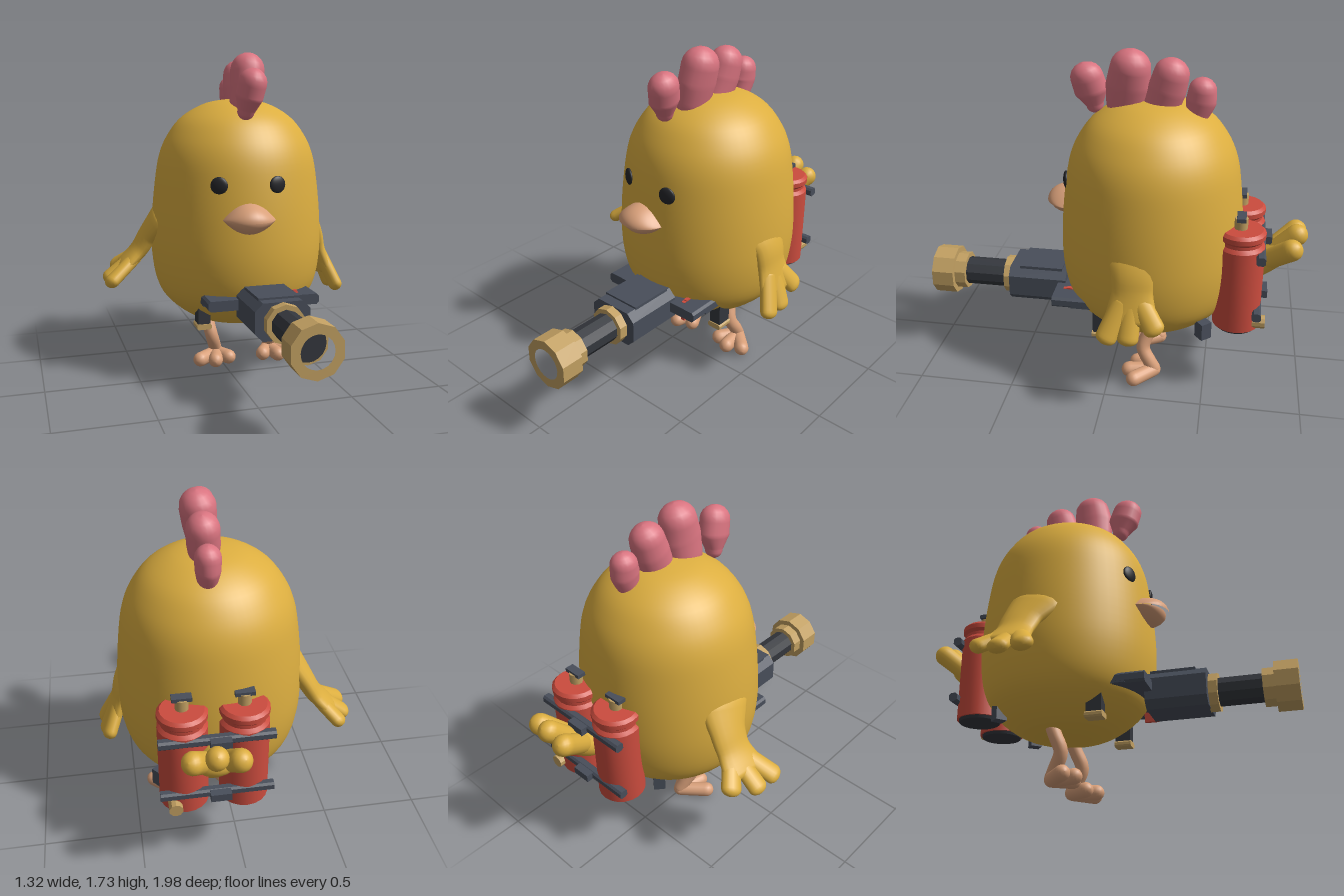
import * as THREE from 'three';
import { toCreasedNormals } from 'three/addons/utils/BufferGeometryUtils.js';

const V = (a) => new THREE.Vector3(...a);

// Rounded limb: sections are [x, y, z, widthRadius, thicknessRadius], wide along `wide`
function limbGeometry(sections, wide = [1, 0, 0], steps = 14, sides = 18) {
  const curve = new THREE.CatmullRomCurve3(sections.map((s) => V(s)));
  const rings = [];
  const n = sections.length - 1;
  const radius = (t, k) => {
    const i = Math.min(Math.floor(t * n), n - 1);
    return THREE.MathUtils.lerp(sections[i][k], sections[i + 1][k], t * n - i);
  };
  const add = (t, cap) => {
    const tan = curve.getTangent(t);
    const rw = radius(t, 3), rt = radius(t, 4), grow = Math.cos(cap);
    const w = V(wide).addScaledVector(tan, -V(wide).dot(tan)).normalize();
    const h = tan.clone().cross(w);
    const c = curve.getPoint(t).addScaledVector(tan, Math.sin(cap) * Math.min(rw, rt));
    const ring = [];
    for (let j = 0; j < sides; j++) {
      const a = (j / sides) * Math.PI * 2;
      ring.push(c.clone().addScaledVector(w, Math.cos(a) * rw * grow).addScaledVector(h, Math.sin(a) * rt * grow));
    }
    rings.push(ring);
  };
  for (let k = 5; k > 0; k--) add(0, (-k / 5) * Math.PI / 2);
  for (let i = 0; i <= steps; i++) add(i / steps, 0);
  for (let k = 1; k <= 5; k++) add(1, (k / 5) * Math.PI / 2);
  const index = [];
  for (let i = 0; i < rings.length - 1; i++) {
    for (let j = 0; j < sides; j++) {
      const a = i * sides + j, b = i * sides + ((j + 1) % sides);
      index.push(a, b, a + sides, b, b + sides, a + sides);
    }
  }
  const g = new THREE.BufferGeometry().setFromPoints(rings.flat());
  g.setIndex(index);
  g.computeVertexNormals();
  return g;
}

// Block with chamfered long edges, running along z
function chamferBox(w, h, d, c) {
  const x = w / 2, y = h / 2;
  const s = new THREE.Shape([[x - c, -y], [x, c - y], [x, y - c], [x - c, y], [c - x, y], [-x, y - c], [-x, c - y], [c - x, -y]]
    .map((p) => new THREE.Vector2(...p)));
  return new THREE.ExtrudeGeometry(s, { depth: d, bevelEnabled: false }).translate(0, 0, -d / 2);
}

// Faceted cylinder running along z
const facetRod = (r, len, sides = 10) =>
  toCreasedNormals(new THREE.CylinderGeometry(r, r, len, sides).rotateX(Math.PI / 2), 0.3);

export function createModel() {
  const model = new THREE.Group();
  const mat = (name, color) => Object.assign(new THREE.MeshStandardMaterial({ color }), { name });
  const yellow = mat('yellow feathers', 0xdcae40);
  const pink = mat('pink comb', 0xd97480);
  const peach = mat('peach skin', 0xd9a07a);
  const red = mat('red paint', 0xcb4c3e);
  const gold = mat('dull brass', 0xc2a062);
  const steel = mat('blue grey steel', 0x484e5a);
  const dark = mat('dark metal', 0x34373d);
  const black = mat('eye black', 0x25262a);
  const add = (name, geometry, material, pos = [0, 0, 0], parent = model) => {
    const m = new THREE.Mesh(geometry, material);
    m.name = name;
    m.position.set(...pos);
    parent.add(m);
    return m;
  };
  const box = (w, h, d) => new THREE.BoxGeometry(w, h, d);

  // Egg-shaped body, turned slightly
  const bird = new THREE.Group();
  bird.name = 'bodyAndFace';
  bird.position.set(0.085, 0, -0.19);
  bird.rotation.y = -0.13;
  model.add(bird);
  const profile = new THREE.SplineCurve([
    [0, 0.26], [0.13, 0.27], [0.26, 0.31], [0.38, 0.4], [0.44, 0.5], [0.468, 0.66], [0.466, 0.85],
    [0.447, 1.05], [0.42, 1.2], [0.37, 1.31], [0.29, 1.405], [0.16, 1.475], [0, 1.5],
  ].map((p) => new THREE.Vector2(...p))).getPoints(48);
  profile.forEach((p) => { p.x = Math.max(0, p.x); });
  add('body', new THREE.LatheGeometry(profile, 56), yellow, [0, 0, 0], bird);

  // Eyes
  for (const s of [-1, 1]) {
    const a = s * 0.343;
    const eye = add('eye', new THREE.SphereGeometry(0.045, 24, 16), black,
      [Math.sin(a) * 0.443, 1.075, Math.cos(a) * 0.443], bird);
    eye.scale.z = 0.35;
    eye.rotation.y = a;
  }

  // Beak: two lens-shaped halves
  for (const [name, h, depth] of [['upperBeak', 0.085, 0.135], ['lowerBeak', -0.075, 0.115]]) {
    const g = new THREE.SphereGeometry(1, 32, 24, 0, Math.PI * 2, 0, Math.PI / 2);
    const p = g.attributes.position;
    for (let i = 0; i < p.count; i++) {
      p.setY(i, p.getY(i) * Math.sqrt(Math.max(0, 1 - p.getX(i) ** 2)));
    }
    if (h < 0) g.rotateZ(Math.PI);
    g.scale(0.135, Math.abs(h), depth);
    g.computeVertexNormals();
    add(name, g, peach, [0, 0.903, 0.435], bird);
  }

  // Comb lobes
  const comb = [
    [[0.05, 1.44, 0.115, 0.045, 0.045], [0.062, 1.51, 0.13, 0.07, 0.085], [0.075, 1.585, 0.15, 0.072, 0.082]],
    [[0.09, 1.46, -0.05, 0.075, 0.1], [0.105, 1.56, -0.06, 0.085, 0.11], [0.115, 1.65, -0.072, 0.09, 0.1]],
    [[0.11, 1.46, -0.22, 0.07, 0.09], [0.115, 1.55, -0.25, 0.08, 0.095], [0.12, 1.625, -0.27, 0.08, 0.088]],
    [[0.12, 1.44, -0.4, 0.05, 0.06], [0.12, 1.5, -0.415, 0.06, 0.075], [0.12, 1.555, -0.42, 0.062, 0.068]],
  ];
  comb.forEach((lobe) => add('combLobe', limbGeometry(lobe), pink));

  // Wings: a flat arm ending in three feathers
  const wings = [
    { arm: [[0.47, 0.84, -0.15, 0.16, 0.06], [0.525, 0.76, -0.15, 0.11, 0.045], [0.55, 0.66, -0.15, 0.1, 0.042], [0.59, 0.54, -0.15, 0.13, 0.035]],
      start: [0.565, 0.62], z: -0.15, tips: [[0.63, 0.455, -0.035], [0.628, 0.455, -0.14], [0.615, 0.515, -0.265]] },
    { arm: [[-0.33, 0.86, -0.23, 0.15, 0.06], [-0.395, 0.76, -0.27, 0.11, 0.05], [-0.45, 0.67, -0.285, 0.1, 0.045], [-0.53, 0.59, -0.295, 0.13, 0.035]],
      start: [-0.48, 0.63], z: -0.29, tips: [[-0.615, 0.525, -0.17], [-0.615, 0.525, -0.29], [-0.555, 0.565, -0.42]] },
  ];
  for (const { arm, start, z, tips } of wings) {
    add('wing', limbGeometry(arm, [0, 0, 1]), yellow);
    tips.forEach((tip, i) => add('wingFeather',
      limbGeometry([[...start, z + (1 - i) * 0.045, 0.05, 0.035], [...tip, 0.053, 0.036]], [0, 0, 1]), yellow));
  }

  // Tail with three feathers
  add('tail', limbGeometry([[0.13, 0.6, -0.6, 0.07, 0.07], [0.14, 0.66, -0.73, 0.085, 0.075], [0.155, 0.74, -0.84, 0.095, 0.06]]), yellow);
  for (const [x, y, z] of [[0.055, 0.82, -0.925], [0.16, 0.845, -0.925], [0.265, 0.81, -0.9]]) {
    add('tailFeather', limbGeometry([[0.145 + (x - 0.16) * 0.35, 0.7, -0.78, 0.05, 0.05], [x, y, z, 0.053, 0.055]]), yellow);
  }

  // Legs and three-toed feet
  const legs = [
    { path: [[-0.075, 0.33, -0.23], [-0.075, 0.25, -0.2], [-0.06, 0.17, -0.175], [-0.035, 0.1, -0.21], [-0.02, 0.055, -0.235]], toes: [-0.135, -0.055, 0.03] },
    { path: [[0.235, 0.33, -0.23], [0.255, 0.25, -0.2], [0.28, 0.17, -0.175], [0.295, 0.1, -0.21], [0.295, 0.055, -0.235]], toes: [0.235, 0.315, 0.395] },
  ];
  for (const { path, toes } of legs) {
    add('leg', limbGeometry(path.map((p) => [...p, 0.036, 0.036])), peach);
    const heel = path[4];
    toes.forEach((x, i) => add('toe', limbGeometry(
      [[heel[0], 0.045, heel[2], 0.038, 0.038], [x, 0.045, i === 1 ? -0.105 : -0.14, 0.04, 0.04]]), peach));
  }

  // Back tanks with valves
  const tankProfile = [[0, 0.39], [0.12, 0.39], [0.12, 0.83], [0.105, 0.848], [0.105, 0.865], [0.12, 0.88], [0.12, 0.905], [0.105, 0.92], [0, 0.92]]
    .map((p) => new THREE.Vector2(...p));
  for (const x of [-0.012, 0.28]) {
    add('tank', toCreasedNormals(new THREE.LatheGeometry(tankProfile, 20), 0.5), red, [x, 0, -0.65]);
    add('tankBase', new THREE.CylinderGeometry(0.112, 0.105, 0.02, 20), dark, [x, 0.385, -0.65]);
    add('valveStem', new THREE.CylinderGeometry(0.033, 0.033, 0.06, 10), gold, [x, 0.945, -0.645]);
    add('valveHandle', box(0.095, 0.02, 0.045), steel, [x, 0.978, -0.645]);
  }
  for (const y of [0.49, 0.805]) {
    add('tankBar', chamferBox(0.045, 0.045, 0.545, 0.01).rotateY(Math.PI / 2), steel, [0.132, y, -0.75]);
    add('barClamp', box(0.1, 0.04, 0.04), steel, [0.12, y, -0.785]);
  }
  add('tankOutlet', facetRod(0.034, 0.09), gold, [0.335, 0.43, -0.75]);
  for (const s of [-1, 1]) {
    const hook = add('tankBracket', box(0.06, 0.09, 0.06), steel, [0.13 + s * 0.25, 0.385, -0.49]);
    hook.rotation.y = s * 0.7;
  }

  // Front blaster: receiver, collars, barrel and hollow muzzle
  const gun = new THREE.Group();
  gun.name = 'blaster';
  gun.position.set(0.1, 0.455, 0);
  model.add(gun);
  add('receiver', chamferBox(0.28, 0.19, 0.31, 0.04), steel, [0, 0.005, 0.405], gun);
  add('receiverTop', box(0.21, 0.02, 0.23), steel, [0, 0.1, 0.39], gun);
  add('rearCollar', facetRod(0.1, 0.05), gold, [0, 0, 0.58], gun);
  add('barrel', facetRod(0.075, 0.25), dark, [0, 0, 0.71], gun);
  add('frontCollar', facetRod(0.1, 0.06), gold, [0, 0, 0.855], gun);
  const ring = (r, n) => Array.from({ length: n }, (_, i) =>
    new THREE.Vector2(Math.sin((i / n) * Math.PI * 2) * r, Math.cos((i / n) * Math.PI * 2) * r));
  const muzzle = new THREE.Shape(ring(0.13, 10));
  muzzle.holes.push(new THREE.Path(ring(0.08, 20)));
  add('muzzle', new THREE.ExtrudeGeometry(muzzle, { depth: 0.117, bevelEnabled: false }), gold, [0, 0, 0.883], gun);
  add('muzzleBore', new THREE.CircleGeometry(0.085, 20), dark, [0, 0, 0.89], gun);

  // Cross bar, side struts and trigger
  add('crossBar', chamferBox(0.595, 0.055, 0.2, 0.012), steel, [0, 0.02, 0.19], gun);
  for (const s of [-1, 1]) {
    add('sideRail', box(0.07, 0.04, 0.2), steel, [s * 0.262, 0.015, 0.09], gun);
    add('strut', box(0.065, 0.15, 0.08), dark, [s * 0.265, -0.07, 0.035], gun);
    add('strutFoot', chamferBox(0.08, 0.03, 0.09, 0.008), gold, [s * 0.265, -0.15, 0.035], gun);
  }
  add('trigger', box(0.02, 0.11, 0.075), red, [0.19, -0.005, 0.21], gun);
  add('triggerButton', box(0.02, 0.02, 0.03), red, [0.19, 0.045, 0.215], gun);

  return model;
}
